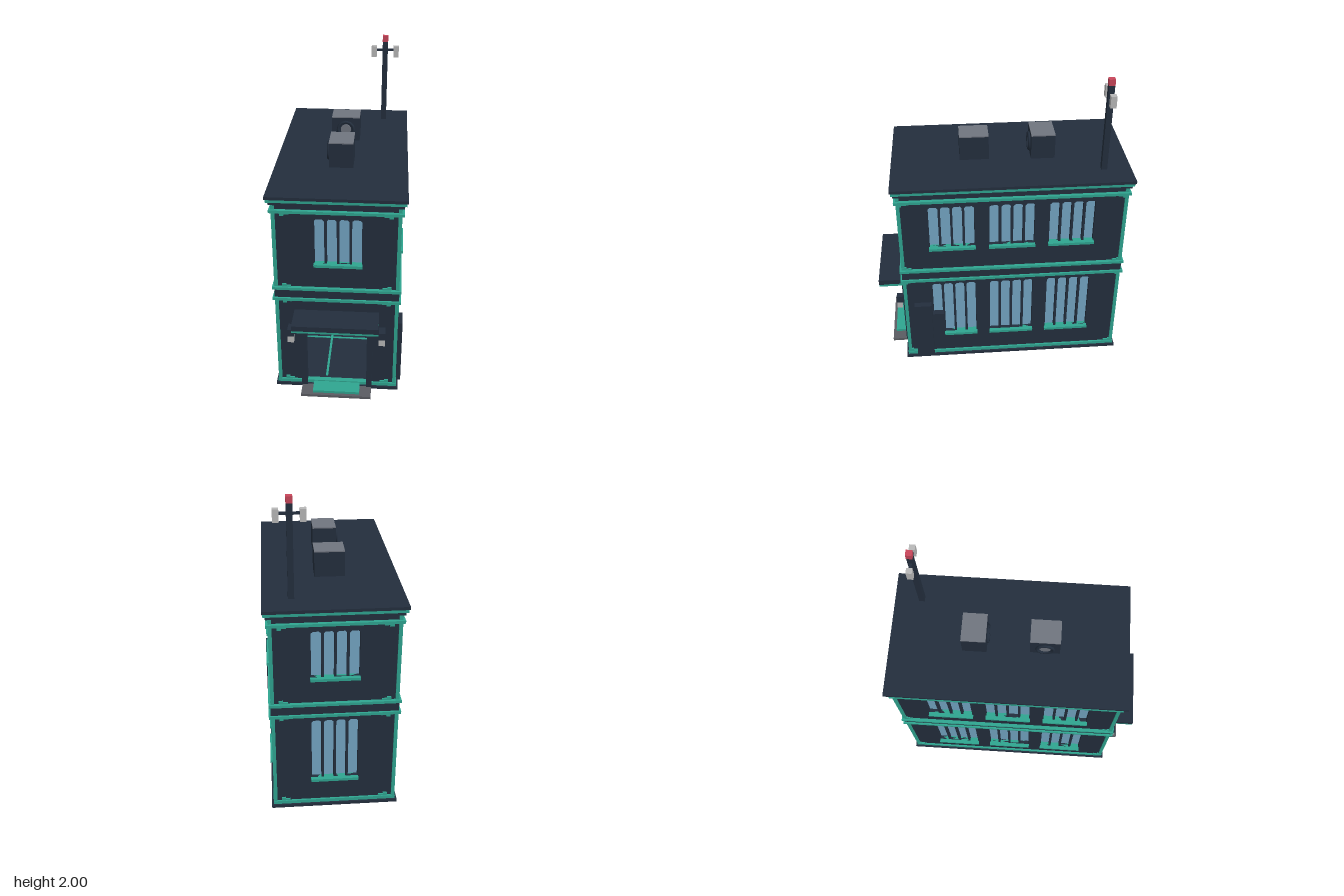
import * as THREE from 'three';

const mat = (name, color) => {
  const m = new THREE.MeshStandardMaterial({ color });
  m.name = name;
  return m;
};

export function createModel() {
  const navy = mat('navy', 0x232e3d), teal = mat('teal', 0x2fa590), glass = mat('glass blue', 0x74a6c4);
  const light = mat('light grey', 0xb8b8b8), red = mat('signal red', 0xc8465a);
  const grey = mat('panel grey', 0x70757f), stone = mat('step grey', 0x5a5c62);
  const model = new THREE.Group();
  model.name = 'building';

  const add = (parent, name, geo, material, x = 0, y = 0, z = 0) => {
    const m = new THREE.Mesh(geo, material);
    m.name = name;
    m.position.set(x, y, z);
    parent.add(m);
    return m;
  };
  // Box given by its extents on each axis
  const box = (parent, name, material, x0, x1, y0, y1, z0, z1) =>
    add(parent, name, new THREE.BoxGeometry(x1 - x0, y1 - y0, z1 - z0), material,
      (x0 + x1) / 2, (y0 + y1) / 2, (z0 + z1) / 2);

  const HX = 0.375, HZ = 0.71, ZC = -0.07, T = 0.04, TOP = 1.36;
  const shell = new THREE.Group();
  shell.name = 'shell';
  shell.position.z = ZC;
  model.add(shell);

  // Pane outline with clipped upper corners
  const paneOutline = (Cls, u, y0, y1) => {
    const w = 0.03, c = 0.012, p = new Cls();
    p.moveTo(u - w, y0);
    p.lineTo(u + w, y0);
    p.lineTo(u + w, y1 - c);
    p.lineTo(u + w - c, y1);
    p.lineTo(u - w + c, y1);
    p.lineTo(u - w, y1 - c);
    p.closePath();
    return p;
  };

  // A wall with recessed windows, sills and corner brackets; windows are [centre, y0, y1]
  const wall = (name, half, out, angle, windows, doorway) => {
    const g = new THREE.Group();
    g.name = name;
    g.rotation.y = angle;
    shell.add(g);
    const s = new THREE.Shape();
    s.moveTo(-half, 0.02);
    if (doorway) {
      s.lineTo(-0.2, 0.02);
      s.lineTo(-0.2, 0.52);
      s.lineTo(0.2, 0.52);
      s.lineTo(0.2, 0.02);
    }
    s.lineTo(half, 0.02);
    s.lineTo(half, TOP);
    s.lineTo(-half, TOP);
    s.closePath();
    for (const [u, y0, y1] of windows) {
      for (let i = 0; i < 4; i++) {
        const c = u + (i - 1.5) * 0.075;
        s.holes.push(paneOutline(THREE.Path, c, y0, y1));
        box(g, 'windowPane', glass, c - 0.032, c + 0.032, y0 - 0.003, y1 + 0.003, out - 0.033, out - 0.025);
      }
      box(g, 'windowSill', teal, u - 0.148, u + 0.148, y0 - 0.018, y0, out - T - 0.01, out + 0.025);
    }
    const geo = new THREE.ExtrudeGeometry(s, { depth: T, bevelEnabled: false });
    add(g, 'wallPanel', geo, navy, 0, 0, out - T);
    // Stepped brackets in the corners of each storey
    for (const side of [-1, 1]) for (const [y, d] of [[0.045, 1], [0.67, -1], [0.768, 1], [1.28, -1]])
      for (const [len, h] of [[0.055, 0.01], [0.025, 0.02]])
        add(g, 'cornerBracket', new THREE.BoxGeometry(len, h, 0.012), teal,
          side * (half - len / 2), y + d * h / 2, out + 0.004);
  };

  const bays = [0.385, 0.005, -0.375];
  const low = [0.21, 0.635], high = [0.94, 1.24];
  const sideWindows = (dir) => bays.flatMap((z) => [[dir * z, ...low], [dir * z, ...high]]);
  wall('frontWall', HX - T, HZ, 0, [[0.01, ...high]], true);
  wall('backWall', HX - T, HZ, Math.PI, [[0, ...low], [0, ...high]], false);
  wall('leftWall', HZ, HX, Math.PI / 2, sideWindows(-1), false);
  wall('rightWall', HZ, HX, -Math.PI / 2, sideWindows(1), false);

  // Rectangular band running around the walls
  const band = (name, material, y0, y1, p) => {
    for (const s of [-1, 1]) {
      add(shell, name, new THREE.BoxGeometry(2 * (HX + p), y1 - y0, 0.02 + p), material,
        0, (y0 + y1) / 2, s * (HZ + (p - 0.02) / 2));
      add(shell, name, new THREE.BoxGeometry(0.02 + p, y1 - y0, 2 * (HZ - 0.02)), material,
        s * (HX + (p - 0.02) / 2), (y0 + y1) / 2, 0);
    }
  };
  band('plinth', navy, 0, 0.02, 0.023);
  band('baseTrim', teal, 0.02, 0.042, 0.012);
  band('lowerStoreyTrim', teal, 0.672, 0.69, 0.022);
  band('storeyBelt', navy, 0.69, 0.75, 0.01);
  band('upperStoreyTrim', teal, 0.75, 0.768, 0.022);
  band('corniceTrim', teal, 1.282, 1.3, 0.022);
  band('cornice', navy, 1.335, 1.355, 0.022);
  for (const sx of [-1, 1]) for (const sz of [-1, 1])
    add(shell, 'cornerPost', new THREE.BoxGeometry(0.022, TOP - 0.02, 0.022), teal,
      sx * (HX - 0.002), (TOP + 0.02) / 2, sz * (HZ - 0.002));

  // Floors and roof
  box(shell, 'groundFloor', navy, -0.355, 0.355, 0.004, 0.02, -0.69, 0.69);
  box(shell, 'upperFloor', navy, -0.34, 0.34, 0.7, 0.73, -0.68, 0.68);
  box(shell, 'roofTrim', teal, -0.41, 0.41, 1.355, 1.376, -0.742, 0.742);
  box(shell, 'roofSlab', navy, -0.416, 0.416, 1.376, 1.395, -0.75, 0.75);
  // Floor inlays and bottom edging
  box(model, 'floorInlayLong', teal, -0.08, -0.065, 0.001, 0.023, -0.25, 0.58);
  box(model, 'floorInlayCross', teal, -0.34, 0.34, 0.001, 0.023, 0.16, 0.175);
  for (const s of [-1, 1]) {
    box(shell, 'bottomEdge', teal, s * 0.35 - 0.01, s * 0.35 + 0.01, -0.0005, 0.004, -0.69, 0.69);
    box(shell, 'bottomEdge', teal, -0.34, 0.34, -0.0005, 0.004, s * 0.68 - 0.01, s * 0.68 + 0.01);
  }

  // Inner partition with a round window
  const inner = new THREE.Group();
  inner.name = 'innerPartition';
  inner.position.z = -0.3;
  model.add(inner);
  box(inner, 'partitionWall', navy, -0.335, 0.335, 0.02, 0.7, -0.03, 0);
  box(inner, 'partitionDoor', navy, -0.19, 0.19, 0.06, 0.5, 0, 0.02);
  const disc = (parent, name, r, depth, material, x, y, z, sides = 16) => {
    const m = add(parent, name, new THREE.CylinderGeometry(r, r, depth, sides), material, x, y, z);
    m.rotation.x = Math.PI / 2;
    return m;
  };
  disc(inner, 'roundWindowRing', 0.125, 0.02, navy, 0, 0.29, 0.03, 8);
  disc(inner, 'roundWindowGlass', 0.1, 0.008, glass, 0, 0.29, 0.044);
  box(inner, 'doorIndicator', glass, 0.13, 0.152, 0.482, 0.498, 0.02, 0.028);

  // Entrance: posts, awning, step, mat and wall lamps
  const entrance = new THREE.Group();
  entrance.name = 'entrance';
  model.add(entrance);
  for (const s of [-1, 1]) {
    box(entrance, 'doorPost', navy, s * 0.21 - 0.018, s * 0.21 + 0.018, 0.015, 0.56, 0.62, 0.67);
    box(entrance, 'lampBracket', navy, s * 0.287 - 0.02, s * 0.287 + 0.02, 0.43, 0.48, 0.64, 0.705);
    box(entrance, 'lampShade', light, s * 0.287 - 0.02, s * 0.287 + 0.02, 0.385, 0.43, 0.67, 0.705);
    box(entrance, 'awningSideTrim', teal, s * 0.257 - 0.008, s * 0.257 + 0.008, 0.543, 0.56, 0.64, 0.8);
  }
  box(entrance, 'doorHeader', navy, -0.228, 0.228, 0.5, 0.56, 0.62, 0.665);
  box(entrance, 'awning', navy, -0.265, 0.265, 0.558, 0.593, 0.64, 0.818);
  box(entrance, 'awningFrontTrim', teal, -0.265, 0.265, 0.543, 0.558, 0.8, 0.816);
  box(entrance, 'step', stone, -0.225, 0.225, 0, 0.018, 0.64, 0.765);
  box(entrance, 'doorMat', teal, -0.15, 0.15, 0.018, 0.035, 0.65, 0.745);

  // Utility panel and meter box on the left wall
  box(model, 'utilityPanel', navy, 0.37, 0.415, 0.02, 0.478, 0.47, 0.585);
  box(model, 'meterBox', navy, 0.37, 0.41, 0.2, 0.4, 0.39, 0.465);

  // Rooftop cooling units, fan facing local +z
  const cooler = (x, z, w, d, angle) => {
    const g = new THREE.Group();
    g.name = 'coolingUnit';
    g.position.set(x, 1.395, z);
    g.rotation.y = angle;
    model.add(g);
    box(g, 'unitBody', navy, -w / 2, w / 2, 0, 0.158, -d / 2, d / 2);
    box(g, 'unitLid', grey, -w / 2, w / 2, 0.158, 0.165, -d / 2, d / 2);
    add(g, 'fanRing', new THREE.TorusGeometry(0.052, 0.01, 6, 12), navy, 0, 0.08, d / 2 + 0.007);
    disc(g, 'fanGrille', 0.035, 0.008, grey, 0, 0.08, d / 2 + 0.004, 10);
  };
  cooler(0, -0.285, 0.186, 0.152, 0);
  cooler(0, 0.152, 0.186, 0.152, -Math.PI / 2);

  // Antenna mast
  const mast = new THREE.Group();
  mast.name = 'antenna';
  mast.position.set(0.245, 0, -0.648);
  model.add(mast);
  box(mast, 'mastPole', navy, -0.018, 0.018, 1.395, 1.96, -0.018, 0.018);
  box(mast, 'mastBeacon', red, -0.019, 0.019, 1.96, 2, -0.019, 0.019);
  box(mast, 'mastCrossbar', navy, -0.06, 0.06, 1.893, 1.907, -0.008, 0.008);
  for (const s of [-1, 1])
    box(mast, 'mastReceiver', light, s * 0.076 - 0.018, s * 0.076 + 0.018, 1.853, 1.928, -0.018, 0.018);

  return model;
}
